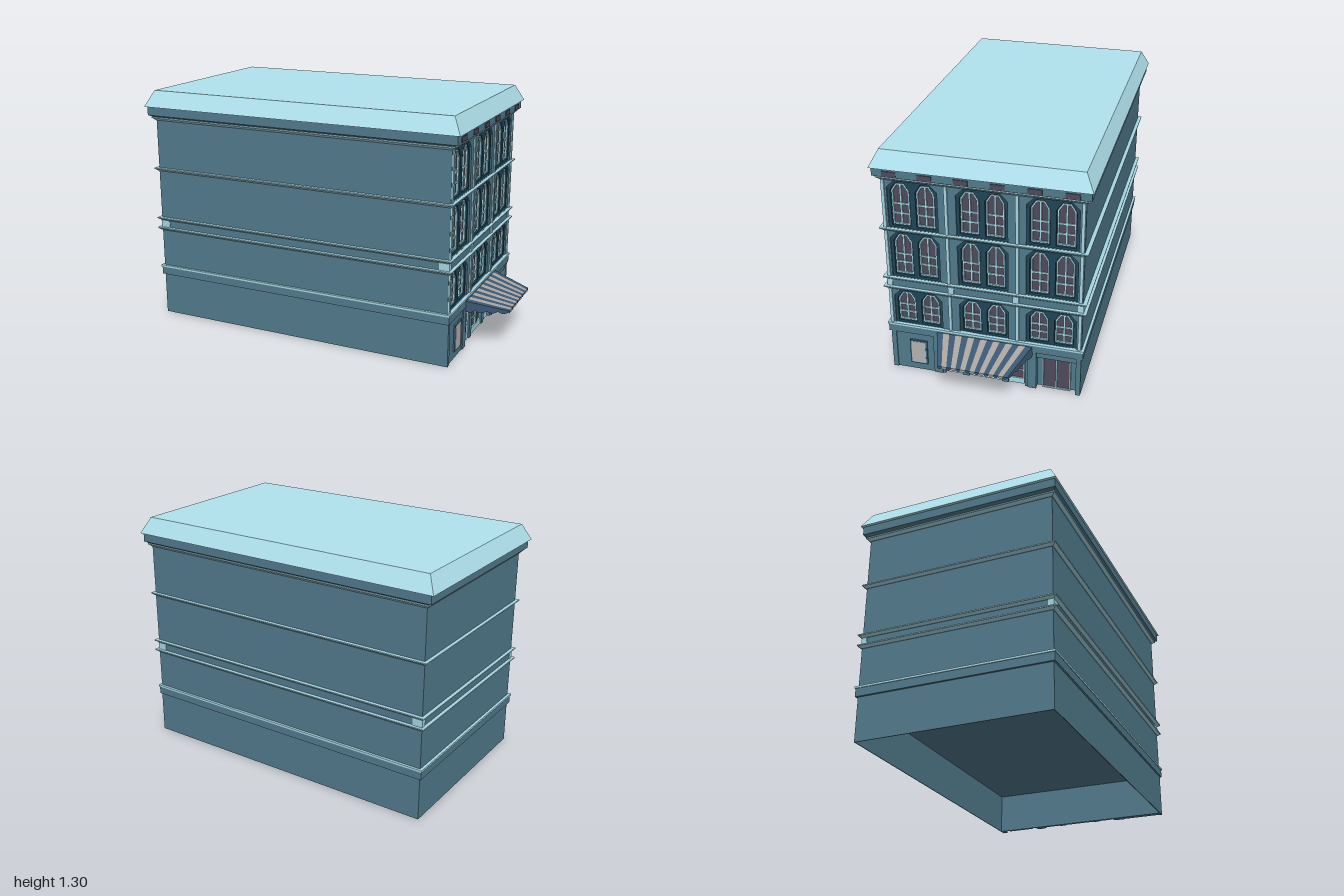
import * as THREE from 'three';

const paint = (color, side = THREE.FrontSide) =>
  new THREE.MeshStandardMaterial({ color, side, flatShading: true });

export function createModel() {
  const wall = paint(0x527b8d), light = paint(0xa6d8e5), roofMat = paint(0xb0e2ee);
  const dark = paint(0x1f4658), glass = paint(0x4f4a5c), grey = paint(0xb4b4b4);
  const frameBlue = paint(0x41688a);
  const navy = paint(0x3b5873, THREE.DoubleSide), cream = paint(0xaaa5a0, THREE.DoubleSide);

  const model = new THREE.Group();
  model.name = 'building';
  const X0 = -0.95, X1 = 0.775, HZ = 0.516;   // wall footprint
  const DEPTH = 0.03;                         // thickness of the street wall

  const add = (parent, name, geo, mat) => {
    const m = new THREE.Mesh(geo, mat);
    m.name = name;
    parent.add(m);
    return m;
  };
  const box = (parent, name, mat, x0, x1, y0, y1, z0, z1) => {
    const m = add(parent, name, new THREE.BoxGeometry(x1 - x0, y1 - y0, z1 - z0), mat);
    m.position.set((x0 + x1) / 2, (y0 + y1) / 2, (z0 + z1) / 2);
    return m;
  };
  // Slab around the footprint; bottom and top each overhang by [x, z]
  const slab = (name, mat, y0, y1, bottom, top = bottom) => {
    const g = new THREE.BoxGeometry(1, 1, 1), p = g.attributes.position;
    for (let i = 0; i < p.count; i++) {
      const [ox, oz] = p.getY(i) > 0 ? top : bottom;
      p.setXYZ(i, p.getX(i) > 0 ? X1 + ox : X0 - ox, p.getY(i) > 0 ? y1 : y0,
        Math.sign(p.getZ(i)) * (HZ + oz));
    }
    g.computeVertexNormals();
    return add(model, name, g, mat);
  };

  // Main block, hollow and open below the first band
  box(model, 'upperBlock', wall, X0, X1 - DEPTH, 0.225, 1.18, -HZ, HZ);
  box(model, 'backWall', wall, X0, X0 + 0.004, 0, 0.225, -HZ, HZ);
  for (const s of [-1, 1]) {
    const z = s * (HZ - 0.002);
    box(model, 'sideWall', wall, X0, X1 - DEPTH, 0, 0.225, z - 0.002, z + 0.002);
  }

  // Bands, cornice and roof
  slab('groundBand', wall, 0.235, 0.279, [0.011, 0.01]);
  slab('groundBandCap', light, 0.279, 0.29, [0.015, 0.014]);
  for (const [y0, y1] of [[0.5, 0.519], [0.559, 0.577], [0.847, 0.866], [1.135, 1.155]]) {
    slab('bandMoulding', light, y0, y1 - 0.006, [0.003, 0.003], [0.016, 0.018]);
    slab('bandLip', light, y1 - 0.006, y1, [0.018, 0.02]);
  }
  slab('corniceFlare', wall, 1.155, 1.165, [0.015, 0.015], [0.033, 0.03]);
  slab('frieze', wall, 1.165, 1.212, [0.035, 0.03]);
  slab('roof', roofMat, 1.212, 1.3, [0.05, 0.04], [0.005, -0.004]);

  // Corner blocks between the two middle bands
  for (const sz of [-1, 1]) for (const x of [X0 - 0.003, X1 - 0.052])
    box(model, 'cornerBlock', light, x, x + 0.055, 0.519, 0.559,
      sz > 0 ? HZ - 0.025 : -HZ - 0.004, sz > 0 ? HZ + 0.004 : -HZ + 0.025);

  // Street side: local x runs along the wall, local z points outward
  const facade = new THREE.Group();
  facade.name = 'facade';
  facade.rotation.y = Math.PI / 2;
  facade.position.x = X1;
  model.add(facade);

  const poly = (pts) => pts.map(([x, y]) => new THREE.Vector2(x, y));
  // Rectangle with cut upper corners
  const arch = (c, w, y0, y1, cutX, cutY) => poly([
    [c - w / 2, y0], [c + w / 2, y0], [c + w / 2, y1 - cutY], [c + w / 2 - cutX, y1],
    [c - w / 2 + cutX, y1], [c - w / 2, y1 - cutY]]);
  const plate = (parent, name, mat, outline, holes, z0, z1) => {
    const s = new THREE.Shape(outline);
    s.holes = holes.map((h) => new THREE.Path(h));
    const g = new THREE.ExtrudeGeometry(s, { depth: z1 - z0, bevelEnabled: false });
    g.translate(0, 0, z0);
    return add(parent, name, g, mat);
  };

  // Upper floors: bay y0, y1, window y0, y1, heights of the two bars
  const floors = [
    [0.29, 0.498, 0.306, 0.478, 0.4, 0.355],
    [0.578, 0.845, 0.595, 0.825, 0.708, 0.66],
    [0.867, 1.132, 0.883, 1.113, 1.0, 0.945]];
  const bays = [-0.357, 0, 0.355], holes = [];
  const windowUnit = (c, y0, y1, bars) => {
    const g = new THREE.Group();
    g.name = 'window';
    facade.add(g);
    const z = -DEPTH + 0.004;
    plate(g, 'windowGlass', glass, arch(c, 0.084, y0, y1 - 0.003, 0.023, 0.035), [], z, z + 0.004);
    plate(g, 'windowFrame', light, arch(c, 0.092, y0, y1, 0.025, 0.038),
      [arch(c, 0.076, y0 + 0.008, y1 - 0.008, 0.021, 0.034)], z, z + 0.013);
    box(g, 'mullion', light, c - 0.005, c + 0.005, y0, y1 - 0.004, z, z + 0.011);
    for (const y of bars)
      box(g, 'windowBar', light, c - 0.042, c + 0.042, y - 0.005, y + 0.005, z, z + 0.01);
  };
  for (const [b0, b1, w0, w1, ...bars] of floors) {
    for (const c of bays) {
      holes.push(arch(c, 0.262, b0, b1, 0.04, 0.04));
      box(facade, 'bayPanel', dark, c - 0.133, c + 0.133, b0, b1, -DEPTH, -DEPTH + 0.005);
      // Dark surround with two arched openings
      plate(facade, 'baySurround', dark, arch(c, 0.262, b0, b1, 0.04, 0.04),
        [-1, 1].map((s) => arch(c + s * 0.065, 0.1, w0 - 0.004, w1 + 0.005, 0.028, 0.042)),
        -DEPTH + 0.004, -0.008);
      for (const s of [-1, 1]) windowUnit(c + s * 0.065, w0, w1, bars);
    }
    for (const u of [-0.506, -0.181, 0.179, 0.504])
      box(facade, 'pilasterStrip', light, u - 0.008, u + 0.008, b0, b1 + 0.003, -0.01, 0.007);
  }
  plate(facade, 'upperWall', wall,
    poly([[-HZ, 0.235], [HZ, 0.235], [HZ, 1.18], [-HZ, 1.18]]), holes, -DEPTH, 0);
  for (const u of [-0.173, 0.171])
    box(facade, 'pilasterBlock', light, u - 0.015, u + 0.015, 0.519, 0.559, -0.01, 0.006);

  // Dark vents along the frieze
  for (let i = 0; i < 6; i++) {
    const u = -0.456 + i * 0.1824;
    box(facade, 'friezeVent', glass, u - 0.036, u + 0.036, 1.171, 1.197, 0.02, 0.039);
  }

  // Ground floor wall with the entrance and shop window openings
  plate(facade, 'groundWall', wall, poly([
    [-HZ, 0], [-0.22, 0], [-0.22, 0.212], [0.22, 0.212], [0.22, 0], [0.28, 0],
    [0.28, 0.2], [0.49, 0.2], [0.49, 0], [HZ, 0], [HZ, 0.236], [-HZ, 0.236]]), [], -DEPTH, 0);
  box(facade, 'recessWall', wall, -HZ, HZ, 0, 0.225, -DEPTH - 0.006, -DEPTH);
  for (const [u0, u1] of [[-HZ, -0.49], [-0.283, -0.235], [0.235, 0.28], [0.49, HZ]])
    box(facade, 'groundPilaster', wall, u0, u1, 0, 0.236, -0.01, 0.006);
  for (const u of [-0.11, 0.108])
    box(facade, 'doorPost', wall, u - 0.018, u + 0.018, 0, 0.212, -DEPTH, -0.008);

  // Glazed shop unit with light frame, kick plate and optional bar
  const shopUnit = (name, u0, u1, top, panes, kick, barY) => {
    const g = new THREE.Group(), z = -DEPTH;
    g.name = name;
    facade.add(g);
    box(g, 'pane', glass, u0, u1, kick, top, z, z + 0.006);
    box(g, 'kickPlate', light, u0, u1, 0, kick, z, z + 0.014);
    box(g, 'topRail', light, u0, u1, top - 0.007, top, z, z + 0.014);
    for (let i = 0; i <= panes; i++) {
      const u = u0 + 0.004 + (u1 - u0 - 0.008) * i / panes;
      box(g, 'upright', light, u - 0.004, u + 0.004, 0, top, z, z + 0.014);
    }
    if (barY) box(g, 'midBar', light, u0, u1, barY - 0.003, barY + 0.003, z, z + 0.012);
  };
  shopUnit('leftSideLight', -0.215, -0.128, 0.205, 1, 0.034, 0.085);
  shopUnit('rightSideLight', 0.126, 0.212, 0.205, 1, 0.034, 0.085);
  shopUnit('doubleDoor', -0.091, 0.089, 0.205, 2, 0.034, 0.085);
  shopUnit('shopWindow', 0.307, 0.459, 0.198, 2, 0.008);
  for (const u of [-0.008, 0.006])
    box(facade, 'doorHandle', wall, u - 0.003, u + 0.003, 0.05, 0.13, -0.018, -0.008);

  // Poster case
  box(facade, 'posterFrame', frameBlue, -0.415, -0.319, 0.042, 0.192, -0.005, 0.008);
  box(facade, 'poster', grey, -0.407, -0.327, 0.05, 0.184, 0, 0.01);

  // Striped awning: each sheet spans an upper and a lower edge curve
  const awning = new THREE.Group();
  awning.name = 'awning';
  facade.add(awning);
  const sheet = (name, mat, upper, lower, n) => {
    const pos = [], index = [];
    for (let i = 0; i <= n; i++) {
      pos.push(...upper(i / n), ...lower(i / n));
      if (i) index.push(2 * i - 2, 2 * i - 1, 2 * i, 2 * i, 2 * i - 1, 2 * i + 1);
    }
    const g = new THREE.BufferGeometry();
    g.setAttribute('position', new THREE.Float32BufferAttribute(pos, 3));
    g.setIndex(index);
    g.computeVertexNormals();
    add(awning, name, g, mat);
  };
  const IN = [0.262, 0.27, 0], OUT = [0.185, 0.222, 0.225], STRIPES = 15;
  const across = (k, t) => (k + t) / STRIPES * 2 - 1;
  for (let k = 0; k < STRIPES; k++) {
    const mat = k % 2 ? cream : navy;
    const inner = (t) => [across(k, t) * IN[0], IN[1], IN[2]];
    const outer = (t) => [across(k, t) * OUT[0], OUT[1], OUT[2]];
    sheet('awningStripe', mat, inner, outer, 1);
    sheet('awningScallop', mat, outer,
      (t) => [outer(t)[0], 0.215 - 0.009 * Math.sin(Math.PI * t), OUT[2]], 6);
  }
  for (const s of [-1, 1]) {
    const edge = (t) => [s * (IN[0] + (OUT[0] - IN[0]) * t),
      IN[1] + (OUT[1] - IN[1]) * t, OUT[2] * t];
    sheet('awningSide', navy, edge, (t) => {
      const [u, , z] = edge(t);
      return [u, 0.216 - 0.011 * Math.abs(Math.sin(4 * Math.PI * t)), z];
    }, 24);
  }
  return model;
}
